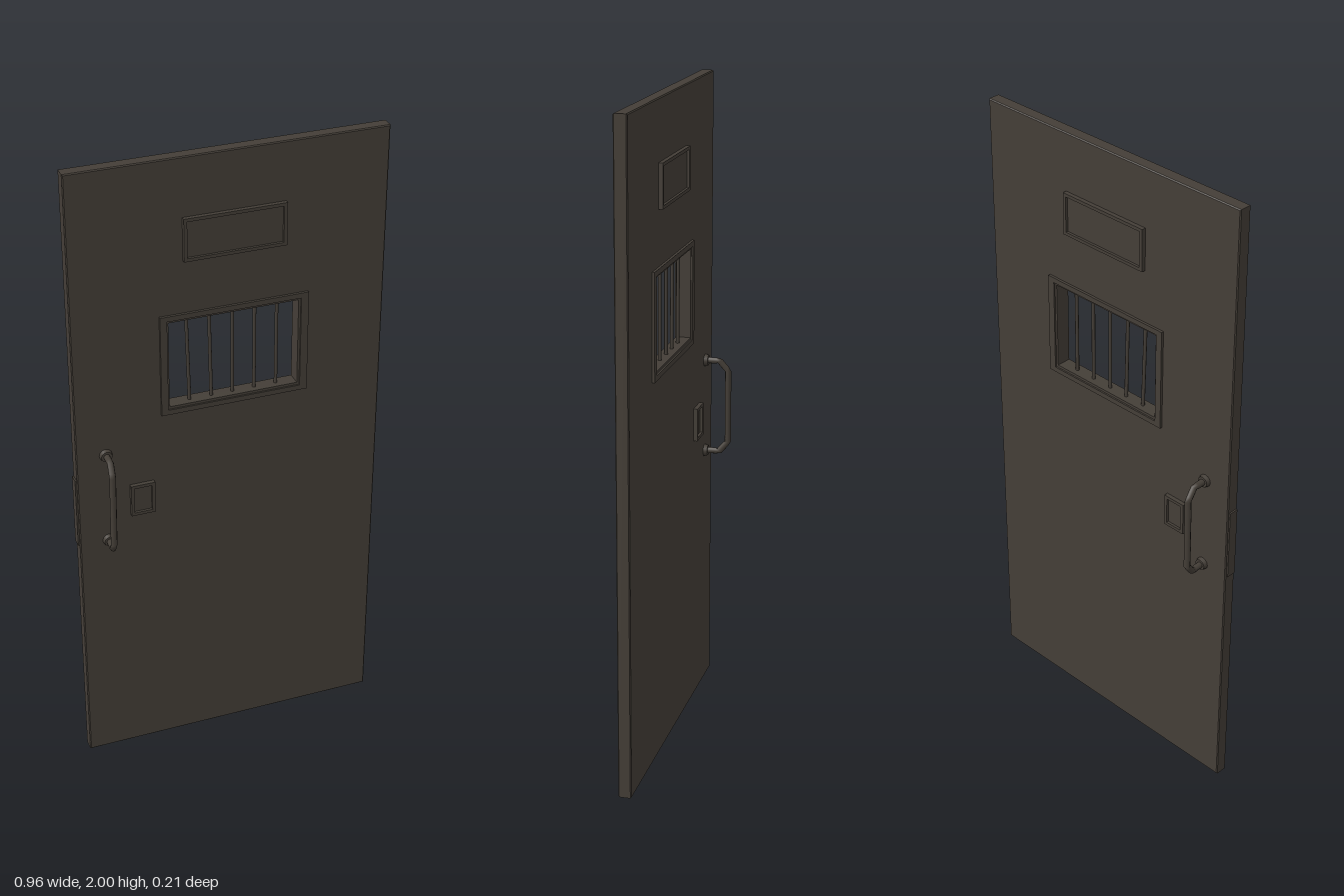
import * as THREE from 'three';

const metal = new THREE.MeshStandardMaterial({ color: 0x443e37 });
metal.name = 'darkMetal';

function add(parent, name, geometry, x = 0, y = 0, z = 0) {
  const mesh = new THREE.Mesh(geometry, metal);
  mesh.name = name;
  mesh.position.set(x, y, z);
  parent.add(mesh);
  return mesh;
}

function rect(Type, x0, x1, y0, y1) {
  return new Type([[x0, y0], [x1, y0], [x1, y1], [x0, y1]].map(p => new THREE.Vector2(...p)));
}

// Rectangular frame running through the door, centred on z = 0
function frame(outer, inner, depth) {
  const shape = rect(THREE.Shape, ...outer);
  shape.holes.push(rect(THREE.Path, ...inner));
  return new THREE.ExtrudeGeometry(shape, { depth, bevelEnabled: false }).translate(0, 0, -depth / 2);
}

// Raised rim with a recessed panel, showing on both faces
function rimmedPlate(parent, name, x0, x1, y0, y1) {
  const group = new THREE.Group();
  group.name = name;
  const r = 0.01;
  add(group, name + 'Rim', frame([x0, x1, y0, y1], [x0 + r, x1 - r, y0 + r, y1 - r], 0.066));
  add(group, name + 'Panel', new THREE.BoxGeometry(x1 - x0 - r, y1 - y0 - r, 0.05), (x0 + x1) / 2, (y0 + y1) / 2);
  parent.add(group);
}

// Pull handle: chamfered bow with two mounting flanges
function pullHandle(name, side) {
  const group = new THREE.Group();
  group.name = name;
  const points = [
    [-0.385, 1.1, 0.015], [-0.386, 1.1, 0.068], [-0.389, 1.068, 0.095],
    [-0.392, 0.832, 0.095], [-0.388, 0.8, 0.068], [-0.385, 0.8, 0.015],
  ].map(([x, y, z]) => new THREE.Vector3(x, y, z * side));
  const path = new THREE.CurvePath();
  for (let i = 1; i < points.length; i++) path.add(new THREE.LineCurve3(points[i - 1], points[i]));
  add(group, 'grip', new THREE.TubeGeometry(path, 40, 0.01, 8, false));
  for (const y of [0.8, 1.1]) {
    const flange = add(group, 'flange', new THREE.CylinderGeometry(0.017, 0.02, 0.012, 12), -0.385, y, side * 0.026);
    flange.rotation.x = side * Math.PI / 2;
  }
  return group;
}

export function createModel() {
  const door = new THREE.Group();
  door.name = 'barredDoor';

  // Slab with softened edges and a window opening
  const slab = rect(THREE.Shape, -0.475, 0.479, 0, 2);
  slab.holes.push(rect(THREE.Path, -0.195, 0.22, 1.215, 1.51));
  const bevel = 0.003;
  const slabGeometry = new THREE.ExtrudeGeometry(slab, {
    depth: 0.04 - 2 * bevel, bevelThickness: bevel, bevelSize: bevel, bevelOffset: -bevel, bevelSegments: 1,
  }).translate(0, 0, -0.02 + bevel);
  add(door, 'slab', slabGeometry);

  // Window surround, inner liner and bars
  add(door, 'windowSurround', frame([-0.213, 0.241, 1.2, 1.523], [-0.192, 0.218, 1.216, 1.507], 0.056));
  add(door, 'windowLiner', frame([-0.2, 0.226, 1.21, 1.515], [-0.187, 0.211, 1.224, 1.5], 0.046));
  const leans = [0.008, 0.006, 0, 0, 0];
  leans.forEach((lean, i) => {
    const bar = add(door, 'windowBar', new THREE.CylinderGeometry(0.0055, 0.0055, 0.29, 8), -0.122 + i * 0.0685, 1.362, 0);
    bar.rotation.z = Math.atan2(lean, 0.29);
  });

  // Sign plate and lock plate
  rimmedPlate(door, 'signPlate', -0.14, 0.168, 1.688, 1.82);
  rimmedPlate(door, 'lockPlate', -0.315, -0.24, 0.875, 0.98);

  // Latch strip on the edge
  add(door, 'latchStrip', new THREE.BoxGeometry(0.012, 0.23, 0.03), -0.474, 0.912, 0);

  door.add(pullHandle('frontHandle', 1), pullHandle('backHandle', -1));
  return door;
}
